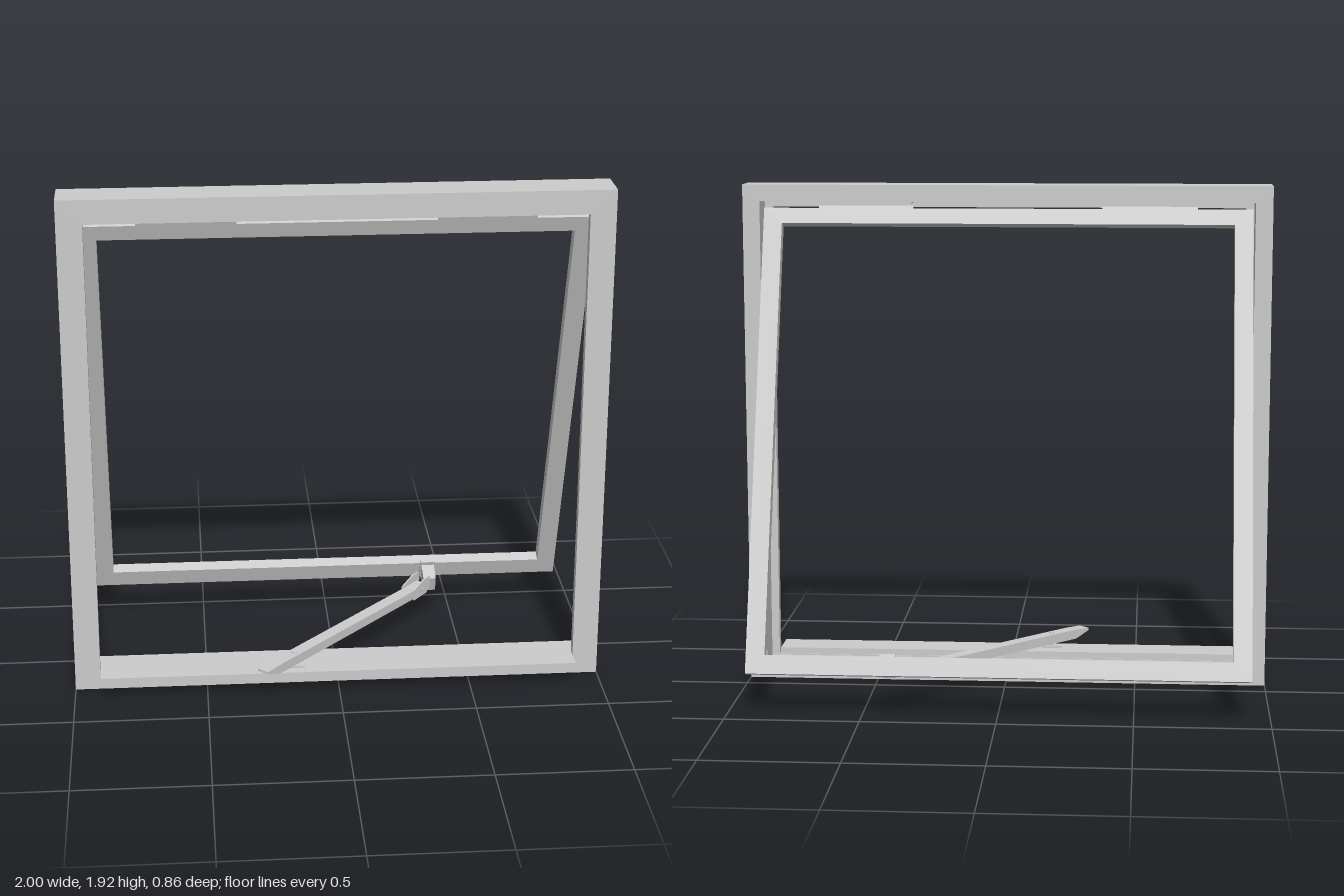
import * as THREE from 'three';

const material = new THREE.MeshStandardMaterial({ color: 0xcccccc, side: THREE.DoubleSide });

function add(parent, name, geometry) {
  const mesh = new THREE.Mesh(geometry, material);
  mesh.name = name;
  parent.add(mesh);
  return mesh;
}

// box given by its limits on each axis
function box(parent, name, [x0, x1], [y0, y1], [z0, z1]) {
  const mesh = add(parent, name, new THREE.BoxGeometry(x1 - x0, y1 - y0, z1 - z0));
  mesh.position.set((x0 + x1) / 2, (y0 + y1) / 2, (z0 + z1) / 2);
  return mesh;
}

function shapeOf(points) {
  return new THREE.Shape(points.map(([x, y]) => new THREE.Vector2(x, y)));
}

// rectangular ring: half width and height limits of the outside and the opening
function ring(parent, name, [w, y0, y1], [iw, i0, i1], z0, z1) {
  const shape = shapeOf([[-w, y0], [w, y0], [w, y1], [-w, y1]]);
  shape.holes.push(new THREE.Path(
    [[-iw, i0], [-iw, i1], [iw, i1], [iw, i0]].map(([x, y]) => new THREE.Vector2(x, y))));
  const geometry = new THREE.ExtrudeGeometry(shape, { depth: z1 - z0, bevelEnabled: false });
  geometry.translate(0, 0, z0);
  return add(parent, name, geometry);
}

export function createModel() {
  const model = new THREE.Group();
  model.name = 'awningWindow';

  // outer frame: a wide rebate at the back and a narrower lip at the front
  const frame = new THREE.Group();
  frame.name = 'outerFrame';
  model.add(frame);
  ring(frame, 'frameRebate', [1, 0, 1.92], [0.935, 0.06, 1.857], 0.085, 0.205);
  ring(frame, 'frameLip', [1, 0, 1.92], [0.905, 0.065, 1.83], 0.205, 0.24);
  box(frame, 'sill', [-0.9, 0.9], [0.066, 0.09], [0.205, 0.335]);

  // sash, swung out at the bottom; its origin is the lower front edge
  const sash = new THREE.Group();
  sash.name = 'sash';
  sash.position.set(0, 0.14, -0.39);
  sash.rotation.x = 0.342;
  model.add(sash);
  ring(sash, 'sashFrame', [0.93, 0, 1.775], [0.86, 0.07, 1.715], -0.047, 0);

  // pair of hinges between the sash and the frame head
  for (const side of [-1, 1]) {
    const x = [side * 0.54 - 0.18, side * 0.54 + 0.18];
    box(sash, 'hingeSashLeaf', x, [1.775, 1.785], [-0.047, 0]);
    box(frame, 'hingeFrameLeaf', x, [1.847, 1.857], [0.11, 0.19]);
  }

  // bracket on the lower sash rail
  box(sash, 'bracketPlate', [0.38, 0.44], [0, 0.085], [0, 0.012]);
  box(sash, 'bracketBlock', [0.385, 0.435], [0.005, 0.07], [0.012, 0.09]);

  // stay arm, turned about the peg on the sill
  const stay = new THREE.Group();
  stay.name = 'stay';
  stay.position.set(-0.17, 0, 0.28);
  stay.rotation.y = 0.813;
  model.add(stay);
  const arm = new THREE.ExtrudeGeometry(shapeOf([
    [-0.18, 0.132], [-0.11, 0.109], [0.72, 0.115], [0.8, 0.128],
    [0.8, 0.152], [0.72, 0.149], [-0.1, 0.146], [-0.18, 0.142],
  ]), { depth: 0.05, bevelEnabled: false });
  arm.translate(0, 0, -0.025);
  add(stay, 'stayArm', arm);

  // fork ears either side of the arm's end
  for (const side of [-1, 1]) {
    const ear = new THREE.ExtrudeGeometry(shapeOf([
      [0.71, 0.112], [0.79, 0.118], [0.82, 0.15], [0.81, 0.185], [0.77, 0.18], [0.71, 0.155],
    ]), { depth: 0.006, bevelEnabled: false });
    ear.translate(0, 0, side * 0.029 - 0.003);
    add(stay, 'forkEar', ear);
  }
  const pin = add(stay, 'forkPin', new THREE.CylinderGeometry(0.007, 0.007, 0.07, 12));
  pin.rotation.x = Math.PI / 2;
  pin.position.set(0.77, 0.14, 0);

  // peg and its foot on the sill
  const peg = add(model, 'peg', new THREE.CylinderGeometry(0.009, 0.009, 0.06, 16));
  peg.position.set(-0.17, 0.12, 0.28);
  box(model, 'pegFoot', [-0.21, -0.13], [0.09, 0.098], [0.262, 0.298]);

  return model;
}
